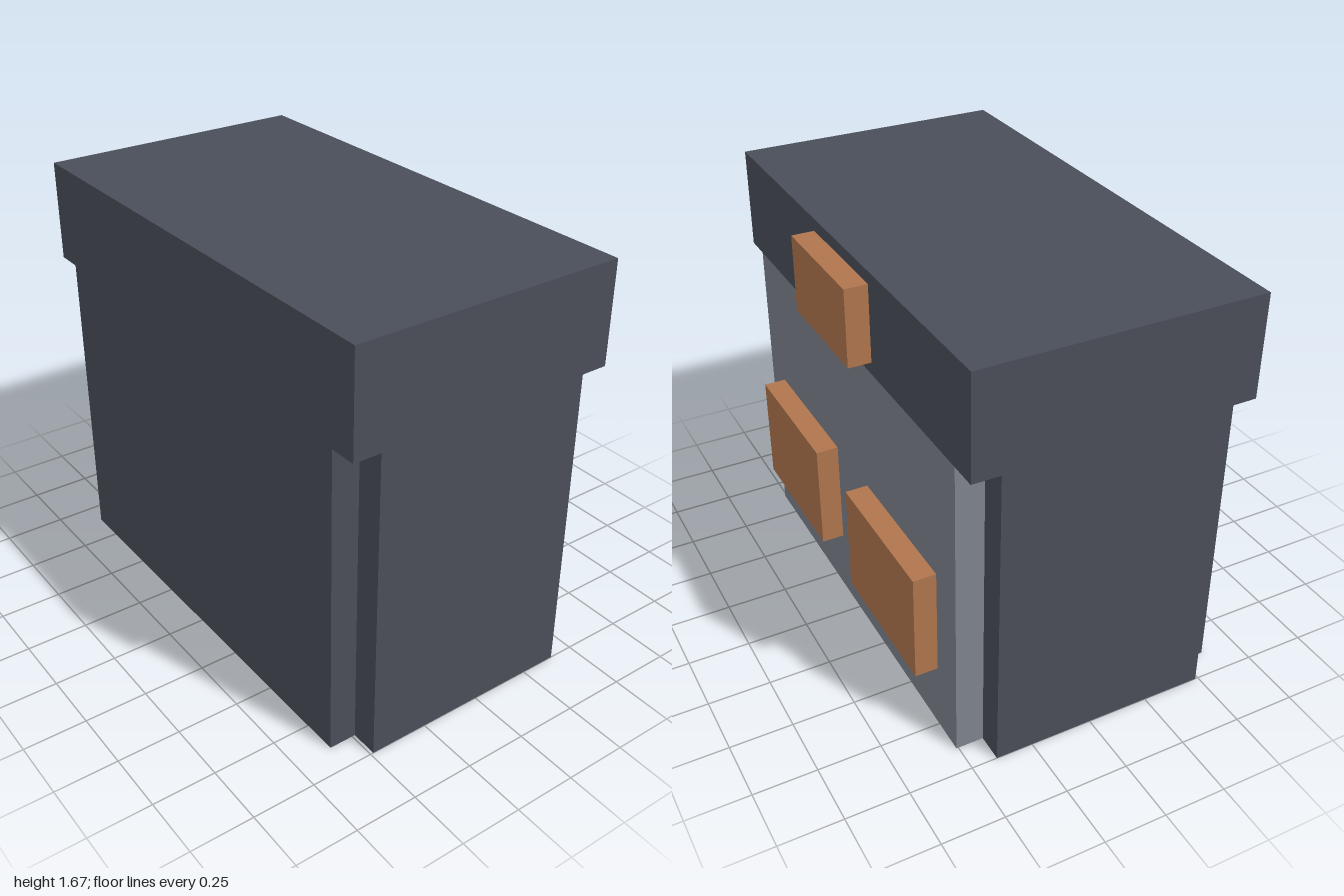
import * as THREE from 'three';

const mat = (name, color) => new THREE.MeshStandardMaterial({ name, color });

export function createModel() {
  const group = new THREE.Group();
  const slate = mat('slate', 0x4a4e59);
  const grey = mat('grey', 0x7e848e);
  const copper = mat('copper', 0xb0754d);

  // box given by its extents along each axis
  const box = (name, material, [x0, x1], [y0, y1], [z0, z1]) => {
    const mesh = new THREE.Mesh(new THREE.BoxGeometry(x1 - x0, y1 - y0, z1 - z0), material);
    mesh.name = name;
    mesh.position.set((x0 + x1) / 2, (y0 + y1) / 2, (z0 + z1) / 2);
    group.add(mesh);
  };

  const wallY = [0, 1.262];
  const innerZ = [-0.89, 0.89];
  const plateX = [0.508, 0.598];

  // solid cap resting on four walls, open underneath with notched corners
  box('cap', slate, [-0.598, 0.508], [1.262, 1.67], [-1, 1]);
  box('rearWall', slate, [-0.598, -0.488], wallY, innerZ);
  box('facePanel', grey, [0.398, 0.508], wallY, innerZ);
  box('endWallLeft', slate, [-0.488, 0.398], wallY, [0.89, 1]);
  box('endWallRight', slate, [-0.488, 0.398], wallY, [-1, -0.89]);

  // raised copper blocks
  box('capBlock', copper, plateX, [1.312, 1.62], [-0.245, 0.245]);
  box('lowerBlockLeft', copper, plateX, [0.275, 0.718], [0.147, 0.742]);
  box('lowerBlockRight', copper, plateX, [0.275, 0.718], [-0.742, -0.147]);

  return group;
}
